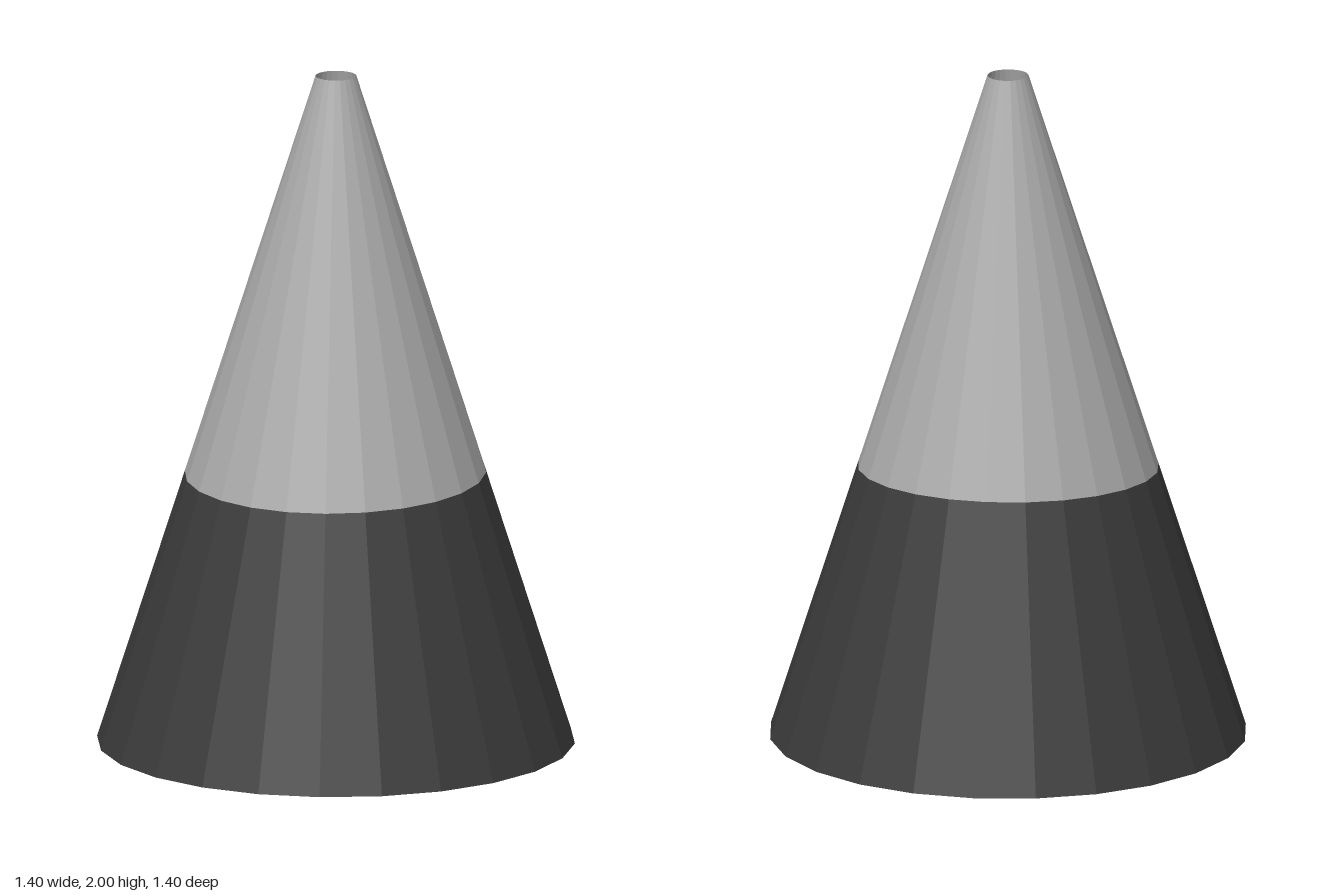
import * as THREE from 'three';

const SIDES = 24;
const HEIGHT = 2;
const TOP_RADIUS = 0.06;

// Height of the slightly tilted colour seam at a given z
const seamHeight = (z) => 0.808 - 0.04 * z;

// One band of a cone wall: the lower band runs from the ground to the seam, the upper from the seam to the tip
function coneBand(baseRadius, upper) {
  const geometry = new THREE.CylinderGeometry(1, 1, 1, SIDES, 1, true);
  const pos = geometry.attributes.position;
  const radiusAt = (y) => baseRadius + (TOP_RADIUS - baseRadius) * (y / HEIGHT);
  for (let i = 0; i < pos.count; i++) {
    const x = pos.getX(i), z = pos.getZ(i);
    const isTop = pos.getY(i) > 0;
    let y = upper ? HEIGHT : 0;
    if (isTop !== upper) y = seamHeight(z * radiusAt(0.808));
    const r = radiusAt(y);
    pos.setXYZ(i, x * r, y, z * r);
  }
  geometry.computeVertexNormals();
  return geometry;
}

export function createModel() {
  const make = (name, color) => {
    const m = new THREE.MeshStandardMaterial({ color, side: THREE.DoubleSide, flatShading: true });
    m.name = name;
    return m;
  };
  const lightGrey = make('lightGrey', 0xaaaaaa);
  const darkGrey = make('darkGrey', 0x3b3b3b);

  const model = new THREE.Group();
  model.name = 'hollowCone';

  // Outer shell and the narrower inner funnel meet at the open tip
  for (const [name, radius] of [['outerShell', 0.7], ['innerFunnel', 0.46]]) {
    const wall = new THREE.Group();
    wall.name = name;
    const lower = new THREE.Mesh(coneBand(radius, false), darkGrey);
    lower.name = name + 'Lower';
    const upper = new THREE.Mesh(coneBand(radius, true), lightGrey);
    upper.name = name + 'Upper';
    wall.add(lower, upper);
    model.add(wall);
  }
  return model;
}
